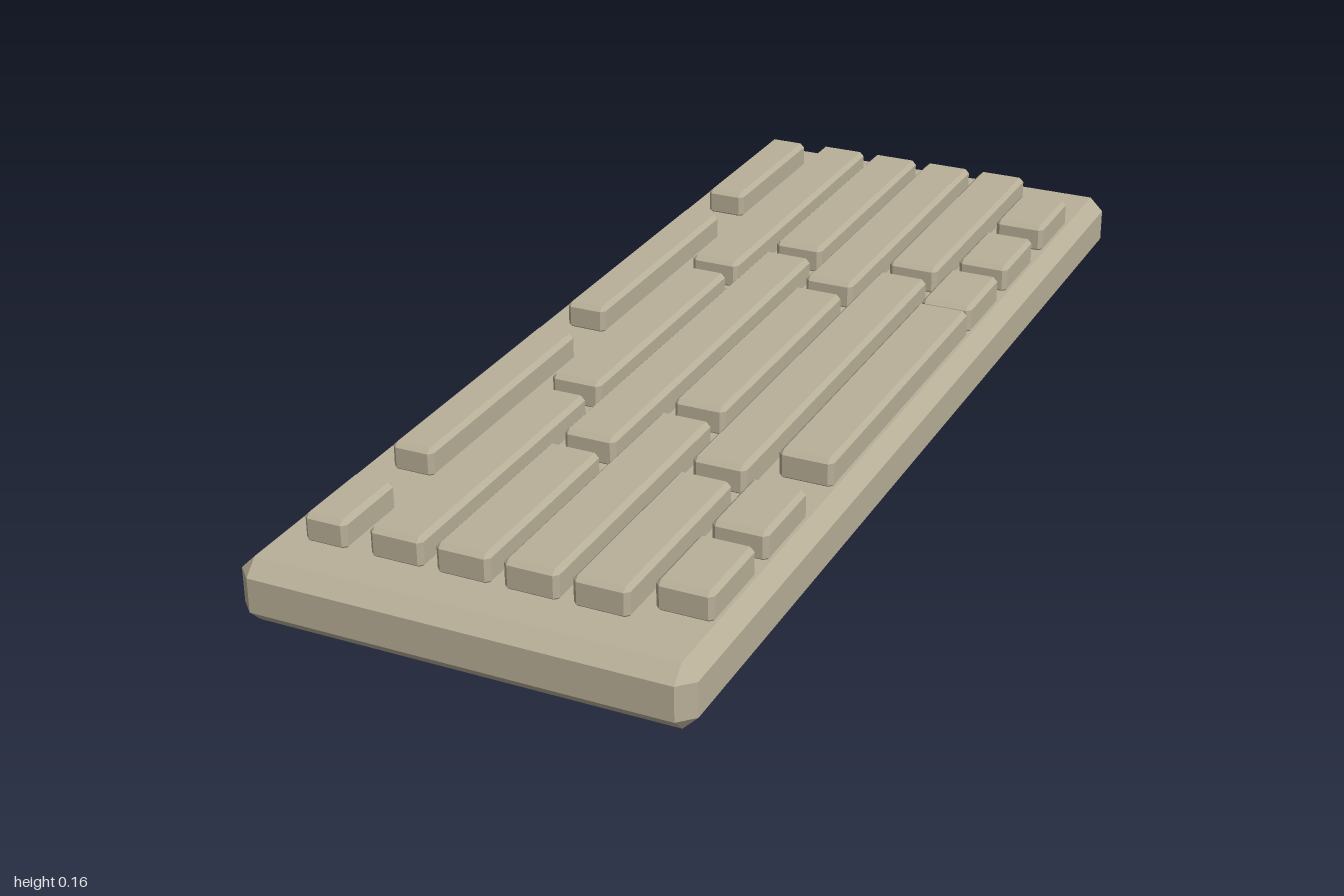
import * as THREE from 'three';
import { ConvexGeometry } from 'three/addons/geometries/ConvexGeometry.js';

// Box between two corners with every edge and corner chamfered by c
function chamferBox(x0, x1, y0, y1, z0, z1, c) {
  const half = [(x1 - x0) / 2, (y1 - y0) / 2, (z1 - z0) / 2];
  const points = [];
  for (const sx of [-1, 1]) for (const sy of [-1, 1]) for (const sz of [-1, 1]) {
    for (let axis = 0; axis < 3; axis++) {
      // each corner becomes three points, one on each adjoining face
      const [x, y, z] = half.map((h, i) => (i === axis ? h : h - c));
      points.push(new THREE.Vector3(sx * x, sy * y, sz * z));
    }
  }
  return new ConvexGeometry(points).translate((x0 + x1) / 2, (y0 + y1) / 2, (z0 + z1) / 2);
}

export function createModel() {
  const model = new THREE.Group();
  model.name = 'keyboard';
  const beige = new THREE.MeshStandardMaterial({ color: 0xb9b098 });
  beige.name = 'beige plastic';

  // Case
  const body = new THREE.Mesh(chamferBox(-0.39, 0.39, 0, 0.113, -1, 1, 0.026), beige);
  body.name = 'case';
  model.add(body);

  // Key blocks: each row runs along z, with the z spans of its blocks
  const wide = [[-0.905, -0.255], [-0.21, 0.31], [0.355, 0.9]];
  const offset = [[-0.905, -0.385], [-0.34, 0.485], [0.53, 0.9]];
  const rows = [
    { name: 'functionKeys', x: [-0.322, -0.246], top: 0.161,
      spans: [[-0.905, -0.58], [-0.47, 0.03], [0.14, 0.64], [0.75, 0.9]] },
    { name: 'numberKeys', x: [-0.204, -0.11], top: 0.163, spans: wide },
    { name: 'upperKeys', x: [-0.087, 0.007], top: 0.163, spans: offset },
    { name: 'homeKeys', x: [0.03, 0.124], top: 0.163, spans: wide },
    { name: 'lowerKeys', x: [0.147, 0.242], top: 0.163, spans: offset },
    { name: 'spaceRowKeys', x: [0.264, 0.36], top: 0.163,
      spans: [[-0.82, -0.663], [-0.605, -0.448], [-0.405, -0.248], [-0.237, 0.405], [0.505, 0.663], [0.702, 0.86]] },
  ];
  for (const { name, x, top, spans } of rows) {
    const row = new THREE.Group();
    row.name = name;
    for (const [z0, z1] of spans) {
      const key = new THREE.Mesh(chamferBox(x[0], x[1], 0.108, top, z0, z1, 0.008), beige);
      key.name = 'keyBlock';
      row.add(key);
    }
    model.add(row);
  }
  return model;
}
